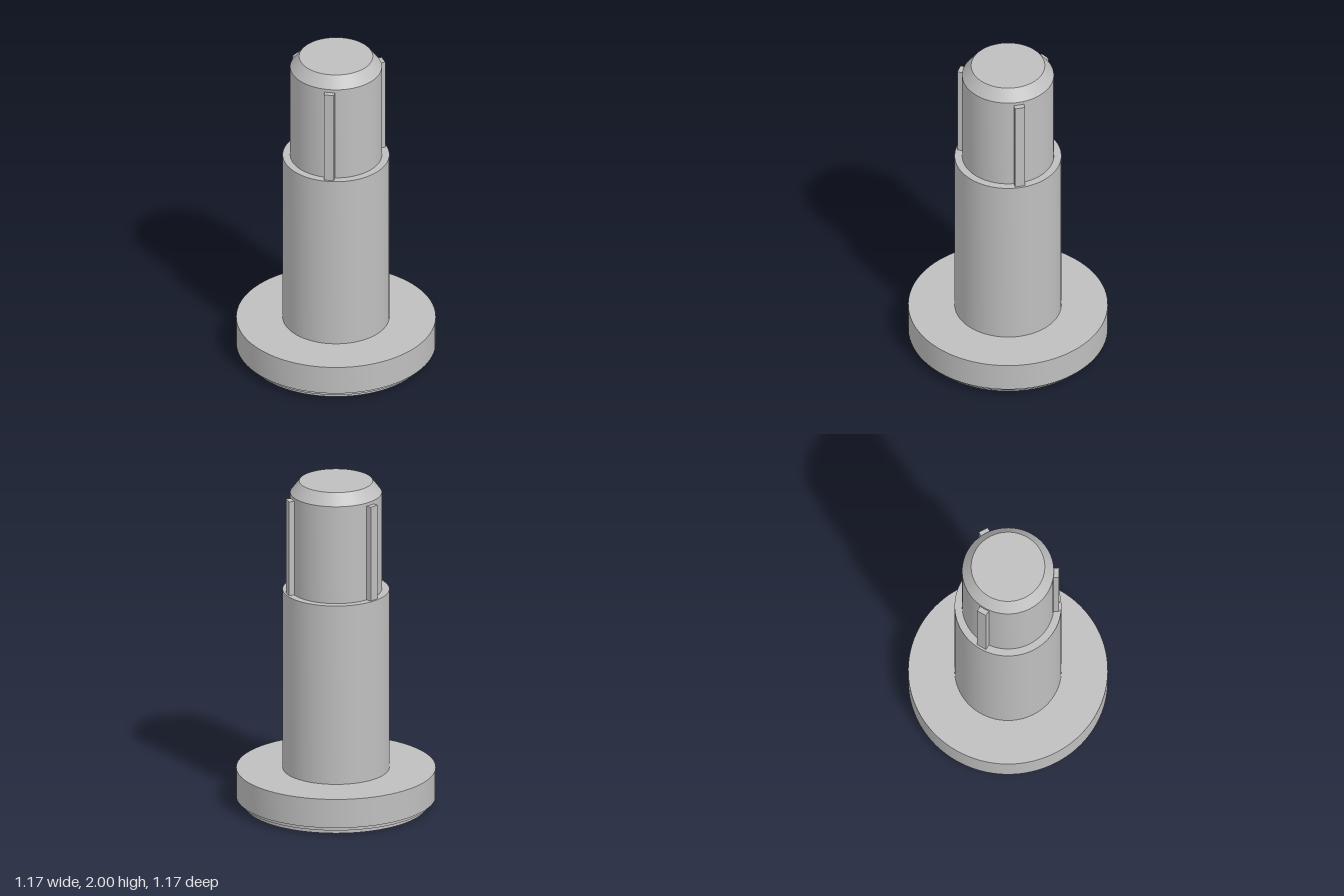
import * as THREE from 'three';
import { toCreasedNormals } from 'three/addons/utils/BufferGeometryUtils.js';

const SEGMENTS = 96;

export function createModel() {
  const group = new THREE.Group();
  const steel = new THREE.MeshStandardMaterial({ color: 0xbfbfbf });
  steel.name = 'grey steel';

  // Turned part from [radius, height] pairs, bottom to top, with sharp edges
  function turned(name, profile) {
    const points = profile.map(([r, y]) => new THREE.Vector2(r, y));
    const geometry = toCreasedNormals(new THREE.LatheGeometry(points, SEGMENTS), Math.PI / 6);
    const mesh = new THREE.Mesh(geometry, steel);
    mesh.name = name;
    group.add(mesh);
  }

  // Wide flange with two shallow steps underneath
  turned('flange', [
    [0, 0], [0.54, 0], [0.54, 0.025], [0.563, 0.025], [0.563, 0.048],
    [0.585, 0.048], [0.585, 0.225], [0.313, 0.225],
  ]);

  // Main shaft up to the shoulder
  turned('shaft', [[0.313, 0.225], [0.313, 1.33], [0.269, 1.33]]);

  // Narrower pin with a chamfered end
  turned('pin', [[0.269, 1.33], [0.269, 1.93], [0.216, 2], [0, 2]]);

  // Three splines around the pin
  const inner = 0.255, outer = 0.3, bottom = 1.33, top = 1.91;
  const splineGeometry = new THREE.BoxGeometry(outer - inner, top - bottom, 0.06);
  splineGeometry.translate((inner + outer) / 2, (bottom + top) / 2, 0);
  for (let i = 0; i < 3; i++) {
    const spline = new THREE.Mesh(splineGeometry, steel);
    spline.name = `spline${i + 1}`;
    spline.rotation.y = (i * Math.PI * 2) / 3;
    group.add(spline);
  }

  return group;
}
